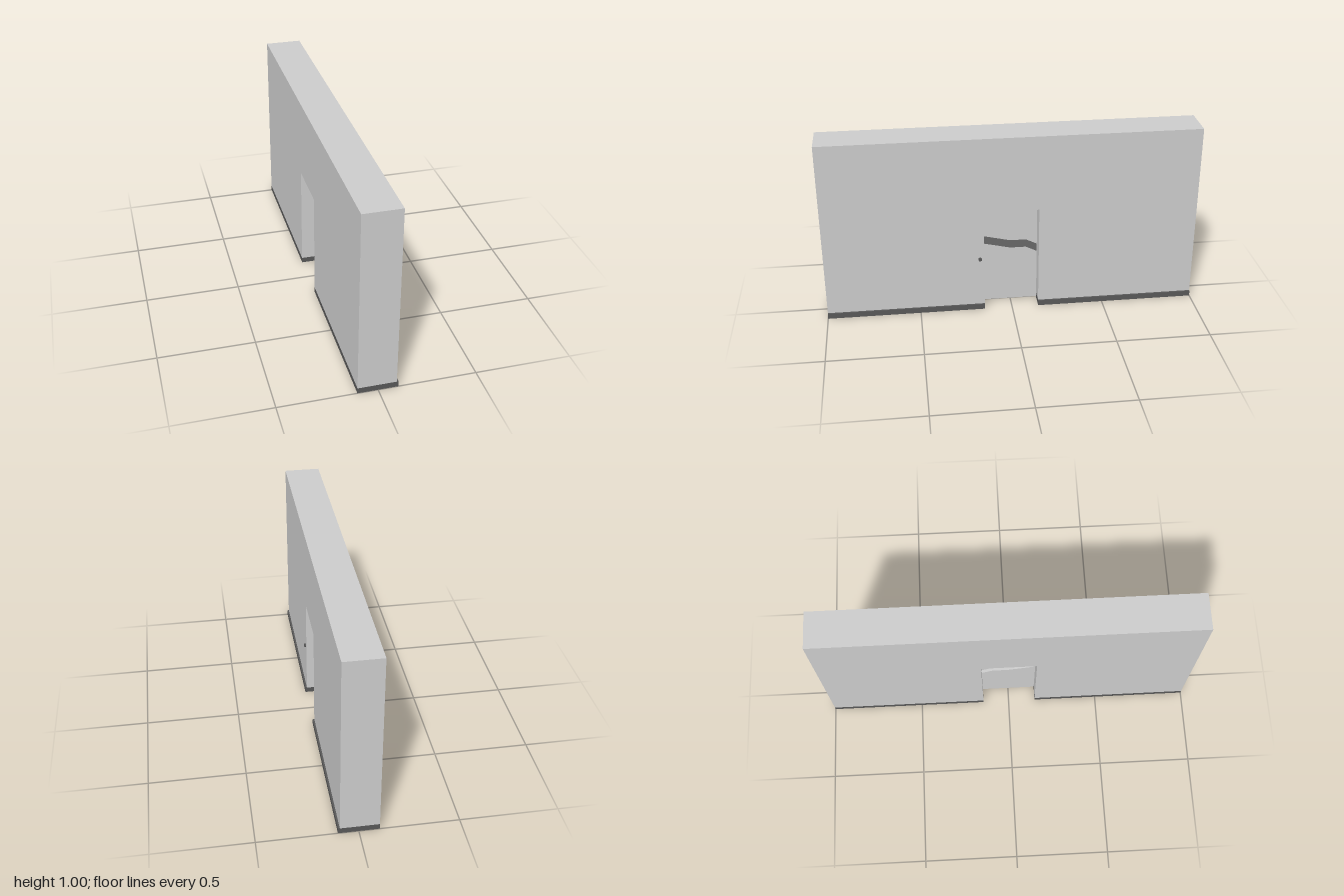
import * as THREE from 'three';

const material = (color) => new THREE.MeshStandardMaterial({ color });

// Extrudes an outline of [z, y] points along x, from x0 to x1
function slab(name, points, x0, x1, mat) {
  const shape = new THREE.Shape(points.map(([z, y]) => new THREE.Vector2(z, y)));
  const geometry = new THREE.ExtrudeGeometry(shape, { depth: x1 - x0, bevelEnabled: false });
  geometry.rotateY(-Math.PI / 2).translate(x1, 0, 0);
  const mesh = new THREE.Mesh(geometry, mat);
  mesh.name = name;
  return mesh;
}

export function createModel() {
  const group = new THREE.Group();
  const grey = material(0xcccccc);
  const dark = material(0x585858);
  const bandGrey = material(0x686868);

  const back = -0.103, front = 0.093, skirtFront = 0.102;
  const z0 = -0.145, z1 = 0.15, doorTop = 0.585, skirtTop = 0.03;

  // Wall with the doorway cut up from its lower edge
  group.add(slab('wall', [
    [-1, skirtTop], [z0, skirtTop], [z0, doorTop], [z1, doorTop],
    [z1, skirtTop], [1, skirtTop], [1, 1], [-1, 1],
  ], back, front, grey));

  // Dark base courses either side of the doorway
  for (const [name, a, b] of [['rightBase', -1, z0], ['leftBase', z1, 1]]) {
    group.add(slab(name, [[a, 0], [b, 0], [b, skirtTop], [a, skirtTop]], back, skirtFront, dark));
  }

  // Door in two pieces, parted along a bent line and joined by a dark band
  const doorBack = -0.026, doorFront = 0.015, bandHeight = 0.045;
  const lower = [[z0, 0.295], [-0.085, 0.325], [0, 0.325], [z1, 0.36]];
  const upper = lower.map(([z, y]) => [z, y + bandHeight]);
  const reversed = (line) => [...line].reverse();
  group.add(slab('lowerDoor', [[z0, 0.007], [z1, 0.007], ...reversed(lower)], doorBack, doorFront, grey));
  group.add(slab('upperDoor', [...upper, [z1, doorTop], [z0, doorTop]], doorBack, doorFront, grey));
  group.add(slab('doorBand', [...lower, ...reversed(upper)], doorFront - 0.005, doorFront, bandGrey));

  // Small button on the wall beside the door
  const button = new THREE.Mesh(new THREE.CylinderGeometry(0.01, 0.01, 0.01, 8), dark);
  button.name = 'button';
  button.rotation.z = -Math.PI / 2;
  button.position.set(front + 0.004, 0.308, 0.172);
  group.add(button);

  return group;
}
